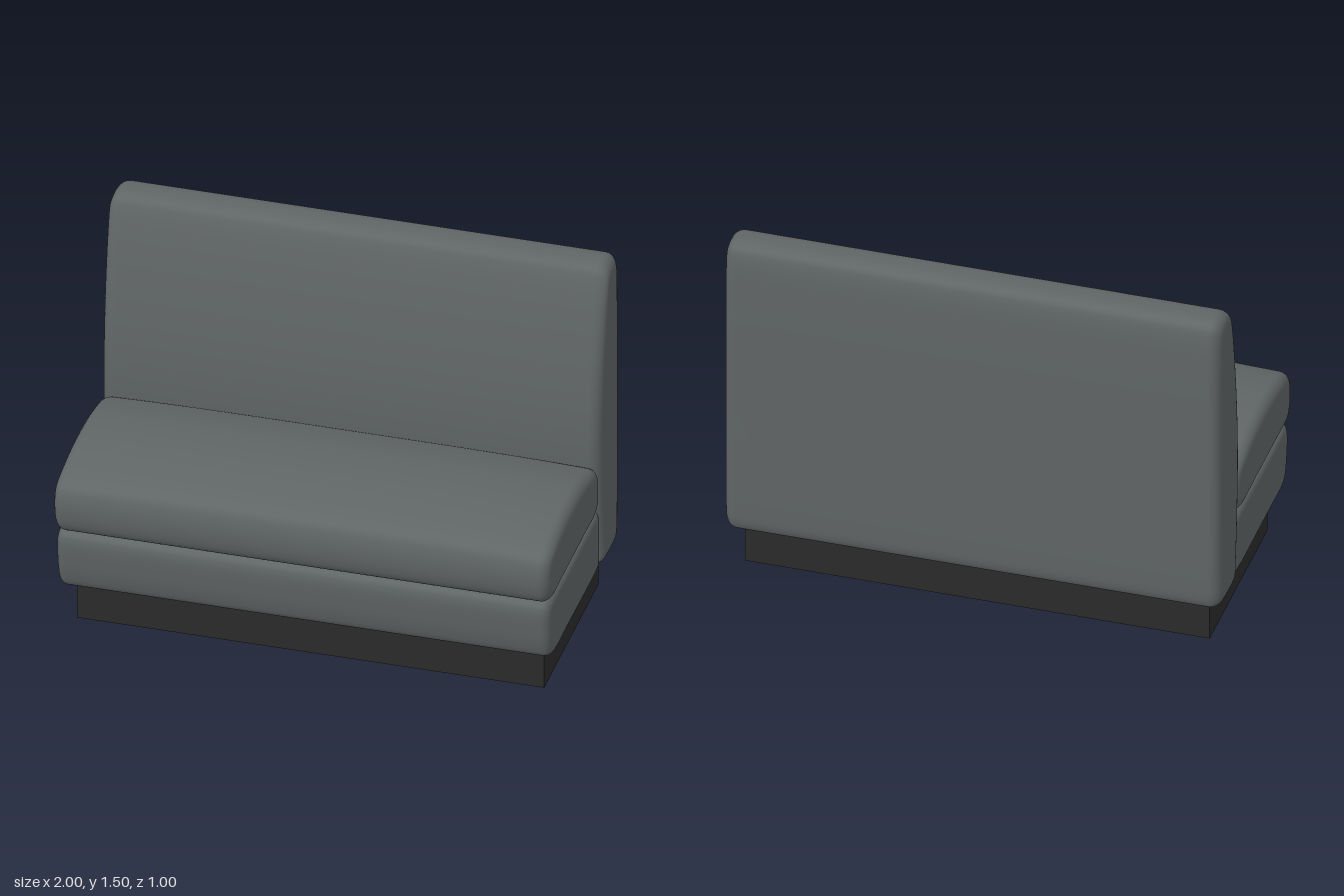
import * as THREE from 'three';

const upholstery = new THREE.MeshStandardMaterial({ color: 0x606565 });
upholstery.name = 'grey upholstery';
const plinthBlack = new THREE.MeshStandardMaterial({ color: 0x2b2b2b });
plinthBlack.name = 'black plinth';

// Lofts a closed side profile of [z, y] points along x, rounding both ends.
// drop lowers the crowned top gradually towards the ends.
function cushion(name, points, half, radius, drop = 0) {
  const curve = new THREE.CatmullRomCurve3(
    points.map(([z, y]) => new THREE.Vector3(0, y, z)), true, 'centripetal');
  const profile = curve.getPoints(points.length * 6).slice(0, -1);
  const box = new THREE.Box3().setFromPoints(profile);
  const mid = box.getCenter(new THREE.Vector3());
  const size = box.getSize(new THREE.Vector3());

  // stations along one half: [x, inset]
  const side = [];
  for (let k = 0; k <= 6; k++) side.push([(half - radius) * k / 6, 0]);
  for (let k = 1; k <= 6; k++) {
    const a = k / 6 * Math.PI / 2;
    side.push([half - radius * (1 - Math.sin(a)), radius * (1 - Math.cos(a))]);
  }
  const stations = [...side.slice(1).reverse().map(([x, i]) => [-x, i]), ...side];

  const pos = [], index = [], n = profile.length;
  for (const [x, inset] of stations) {
    const sy = 1 - 2 * inset / size.y, sz = 1 - 2 * inset / size.z;
    for (const p of profile) {
      const up = Math.max(0, (p.y - mid.y) / (size.y / 2));
      const y = mid.y + (p.y - mid.y) * sy - drop * up * Math.pow(Math.abs(x) / half, 4);
      pos.push(x, y, mid.z + (p.z - mid.z) * sz);
    }
  }
  const last = stations.length - 1;
  pos.push(-half, mid.y, mid.z, half, mid.y, mid.z);
  const endA = n * stations.length, endB = endA + 1;
  for (let j = 0; j < n; j++) {
    const k = (j + 1) % n;
    for (let i = 0; i < last; i++) {
      const a = i * n + j, b = a + n, c = i * n + k, d = c + n;
      index.push(a, b, c, b, d, c);
    }
    index.push(endA, j, k, endB, last * n + k, last * n + j);
  }
  const geo = new THREE.BufferGeometry();
  geo.setAttribute('position', new THREE.Float32BufferAttribute(pos, 3));
  geo.setIndex(index);
  geo.computeVertexNormals();
  const mesh = new THREE.Mesh(geo, upholstery);
  mesh.name = name;
  return mesh;
}

export function createModel() {
  const group = new THREE.Group();
  group.name = 'banquetteBench';

  // recessed plinth
  const plinth = new THREE.Mesh(new THREE.BoxGeometry(1.87, 0.19, 0.775), plinthBlack);
  plinth.name = 'plinth';
  plinth.position.set(0, 0.095, -0.0325);
  group.add(plinth);

  // lower seat body
  group.add(cushion('seatBase', [
    [0.44, 0.453], [0.2, 0.455], [-0.23, 0.455], [-0.255, 0.445], [-0.262, 0.42],
    [-0.262, 0.21], [-0.255, 0.188], [-0.23, 0.18], [0.2, 0.18], [0.4, 0.182],
    [0.435, 0.2], [0.455, 0.25], [0.47, 0.34], [0.474, 0.41], [0.465, 0.44],
  ], 0.99, 0.04));

  // crowned seat cushion
  group.add(cushion('seatCushion', [
    [0.15, 0.737], [0, 0.728], [-0.12, 0.703], [-0.2, 0.675], [-0.228, 0.645],
    [-0.237, 0.57], [-0.232, 0.49], [-0.205, 0.46], [0, 0.455], [0.3, 0.455],
    [0.45, 0.457], [0.48, 0.48], [0.498, 0.54], [0.497, 0.62], [0.48, 0.67],
    [0.44, 0.695], [0.3, 0.726],
  ], 0.995, 0.045, 0.02));

  // tapered backrest
  group.add(cushion('backrest', [
    [-0.36, 1.495], [-0.4, 1.5], [-0.45, 1.497], [-0.478, 1.482], [-0.49, 1.45],
    [-0.499, 1.3], [-0.5, 0.8], [-0.498, 0.3], [-0.49, 0.21], [-0.475, 0.185],
    [-0.44, 0.177], [-0.29, 0.178], [-0.264, 0.19], [-0.255, 0.25], [-0.232, 0.45],
    [-0.216, 0.7], [-0.222, 0.9], [-0.245, 1.1], [-0.285, 1.32], [-0.32, 1.45],
    [-0.335, 1.48],
  ], 1, 0.05));

  return group;
}
